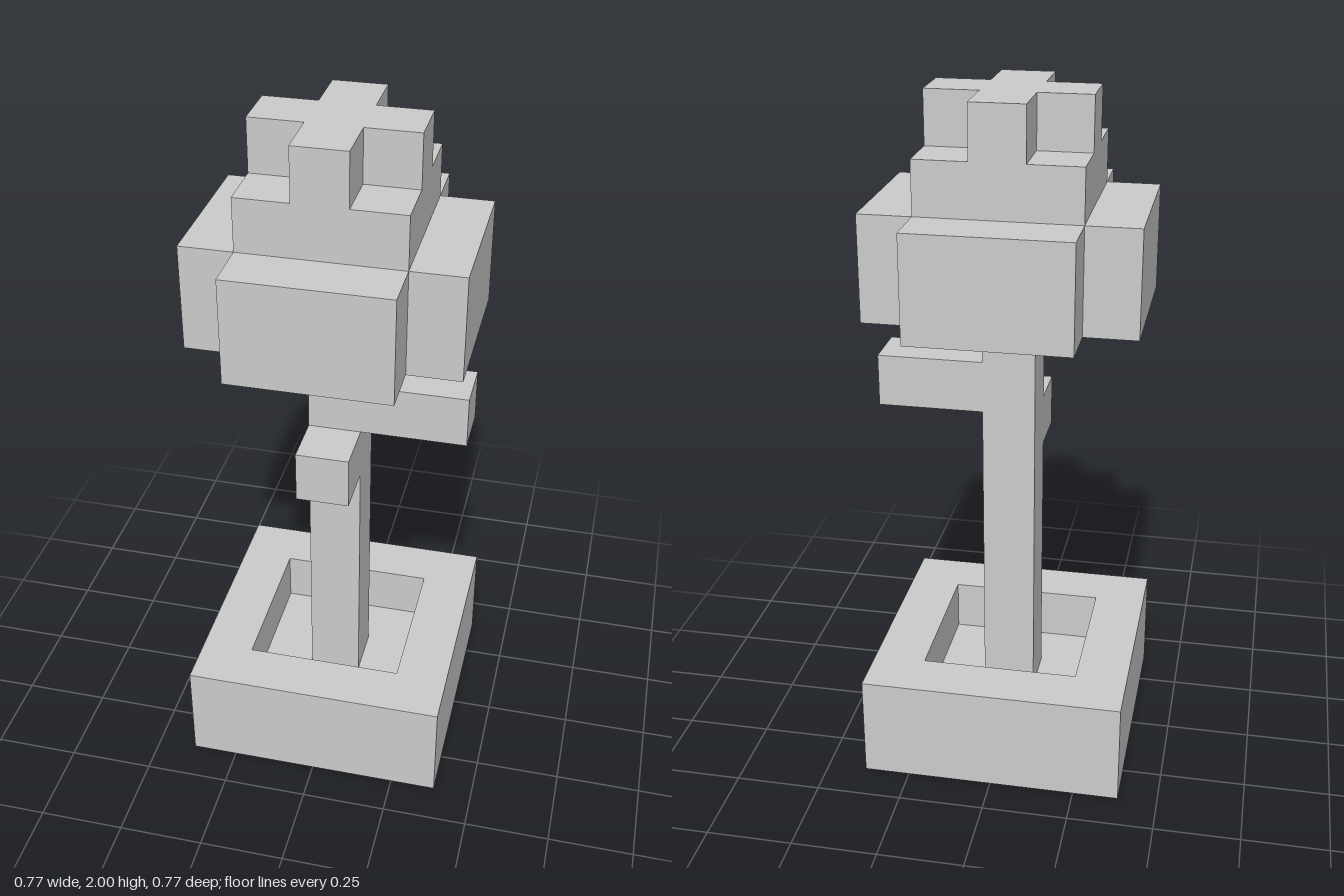
import * as THREE from 'three';

const U = 2 / 13; // one block
const material = new THREE.MeshStandardMaterial({ color: 0xcccccc, flatShading: true });

// Box spanning two corners given in blocks
function block(name, [x0, y0, z0], [x1, y1, z1]) {
  const geometry = new THREE.BoxGeometry((x1 - x0) * U, (y1 - y0) * U, (z1 - z0) * U);
  geometry.translate((x0 + x1) / 2 * U, (y0 + y1) / 2 * U, (z0 + z1) / 2 * U);
  const mesh = new THREE.Mesh(geometry, material);
  mesh.name = name;
  return mesh;
}

// Upright prism from a plan outline, between two heights in blocks
function slab(name, shape, y0, y1) {
  const geometry = new THREE.ExtrudeGeometry(shape, { depth: (y1 - y0) * U, bevelEnabled: false });
  geometry.rotateX(-Math.PI / 2).translate(0, y0 * U, 0);
  const mesh = new THREE.Mesh(geometry, material);
  mesh.name = name;
  return mesh;
}

const outline = (points) => points.map(([x, z]) => new THREE.Vector2(x * U, z * U));
const square = (h) => outline([[-h, -h], [h, -h], [h, h], [-h, h]]);

// Square with notched corners: outer half-width a, arm half-width b
const cross = (a, b) => new THREE.Shape(outline([
  [b, -a], [b, -b], [a, -b], [a, b], [b, b], [b, a],
  [-b, a], [-b, b], [-a, b], [-a, -b], [-b, -b], [-b, -a],
]));

export function createModel() {
  const model = new THREE.Group();
  model.name = 'pottedTree';

  // Planter: solid base with a raised rim around the soil
  const rim = new THREE.Shape(square(2.5));
  rim.holes.push(new THREE.Path(square(1.5)));
  model.add(block('planterBase', [-2.5, 0, -2.5], [2.5, 1, 2.5]));
  model.add(slab('planterRim', rim, 1, 2));

  // Trunk and its two branches
  model.add(block('trunk', [-0.5, 1, -0.5], [0.5, 9, 0.5]));
  model.add(block('frontBranch', [-0.5, 6, 0.5], [0.5, 7, 1.5]));
  model.add(block('leftBranch', [0.5, 7, -0.5], [2.5, 8, 0.5]));

  // Stepped crown
  model.add(slab('lowerCrown', cross(2.5, 1.5), 9, 11));
  model.add(slab('middleCrown', new THREE.Shape(square(1.5)), 11, 12));
  model.add(slab('crownTop', cross(1.5, 0.5), 12, 13));

  return model;
}
